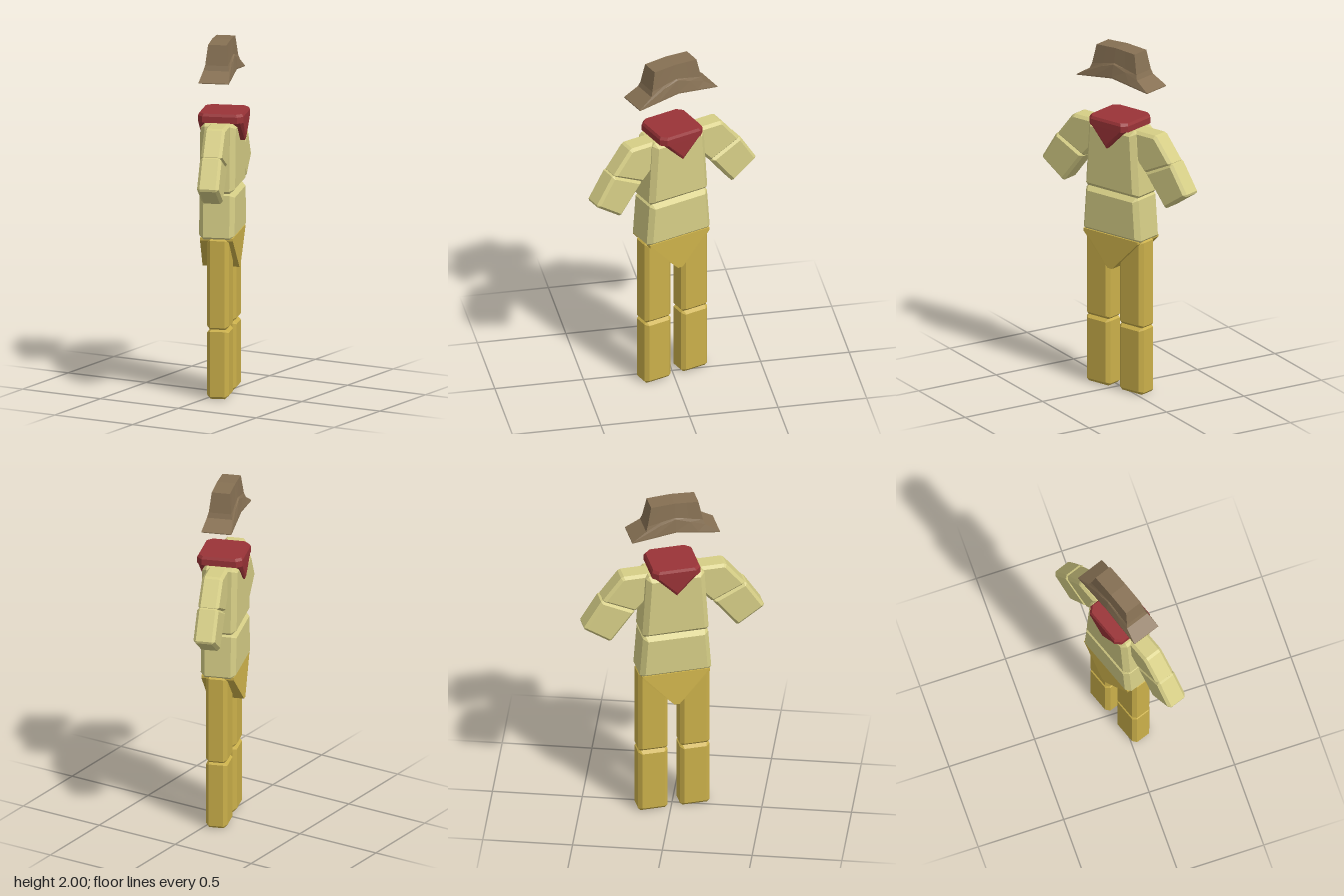
import * as THREE from 'three';
import { ConvexGeometry } from 'three/addons/geometries/ConvexGeometry.js';

const mat = (name, color, side = THREE.FrontSide) =>
  Object.assign(new THREE.MeshStandardMaterial({ color, side }), { name });

// Prism outlined in x-y with cut corners and bevelled front and back edges.
function block(points, depth, bevel, cut = 0.01, z = 0) {
  const p = points.map(([x, y]) => new THREE.Vector2(x, y));
  const outline = [];
  p.forEach((c, i) => {
    for (const n of [p[(i + p.length - 1) % p.length], p[(i + 1) % p.length]])
      outline.push(c.clone().add(n.clone().sub(c).setLength(cut)));
  });
  const geo = new THREE.ExtrudeGeometry(new THREE.Shape(outline), {
    depth: depth - 2 * bevel, bevelEnabled: true, bevelSegments: 1,
    bevelSize: bevel, bevelThickness: bevel, bevelOffset: -bevel,
  });
  return geo.translate(0, 0, z - depth / 2 + bevel);
}

// Outline symmetric in x: bottom and top half widths.
const trapezoid = (y0, w0, y1, w1) => [[-w0, y0], [w0, y0], [w1, y1], [-w1, y1]];

// Hat skin: rectangular rings [halfLength, halfDepth, yAtEnds, yAtMiddle], joined in order.
function hatGeometry(rings) {
  const steps = [-1, -0.5, 0, 0.5, 1];
  const loops = rings.map(([hx, hz, yEnd, yMid]) => {
    const at = (t, s) => [t * hx, yMid + (yEnd - yMid) * Math.abs(t), s * hz];
    return [...steps.map(t => at(t, 1)), ...steps.map(t => at(-t, -1))];
  });
  const pos = [];
  const quad = (a, b, c, d) => pos.push(...a, ...b, ...c, ...a, ...c, ...d);
  for (let r = 0; r < loops.length - 1; r++)
    for (let i = 0; i < 10; i++) {
      const j = (i + 1) % 10;
      quad(loops[r][i], loops[r][j], loops[r + 1][j], loops[r + 1][i]);
    }
  // Inner ceiling and crown top
  const first = loops[0], last = loops[loops.length - 1];
  for (let i = 0; i < 4; i++) {
    quad(last[i], last[i + 1], last[8 - i], last[9 - i]);
    quad(first[i + 1], first[i], first[9 - i], first[8 - i]);
  }
  const geo = new THREE.BufferGeometry();
  geo.setAttribute('position', new THREE.Float32BufferAttribute(pos, 3));
  geo.computeVertexNormals();
  return geo;
}

export function createModel() {
  const shirt = mat('khaki shirt', 0xd6ce86);
  const trousers = mat('ochre trousers', 0xcbb04a);
  const red = mat('red cloth', 0x9a3337);
  const felt = mat('brown felt', 0x867053, THREE.DoubleSide);

  const figure = new THREE.Group();
  figure.name = 'clothedFigure';
  const add = (name, geo, material) => {
    const mesh = new THREE.Mesh(geo, material);
    mesh.name = name;
    figure.add(mesh);
    return mesh;
  };

  // Torso
  add('waist', block(trapezoid(0.9, 0.205, 1.165, 0.185), 0.2, 0.026, 0.015, 0.008), shirt);
  add('chest', block(trapezoid(1.16, 0.19, 1.55, 0.165), 0.2, 0.028, 0.015, 0.008), shirt);

  // Hips: wedge narrowing to the crotch
  const hips = [];
  for (const s of [-1, 1])
    for (const [x, y, z] of [[0.192, 0.91, 0.1], [0.192, 0.895, 0.1], [0.015, 0.715, 0.118],
      [0.192, 0.91, -0.085], [0.192, 0.895, -0.085], [0.015, 0.715, -0.09]])
      hips.push(new THREE.Vector3(s * x, y, z));
  add('hips', new ConvexGeometry(hips), trousers);

  // Limbs, mirrored
  for (const [side, s] of [['left', 1], ['right', -1]]) {
    const flip = pts => pts.map(([x, y]) => [s * x, y]);
    const leg = (y0, y1) => flip([[0.035, y0], [0.203, y0], [0.203, y1], [0.035, y1]]);
    add(side + 'LowerLeg', block(leg(0, 0.396), 0.122, 0.02, 0.014), trousers);
    add(side + 'UpperLeg', block(leg(0.39, 0.91), 0.122, 0.02, 0.014), trousers);
    add(side + 'UpperArm', block(flip([[0.14, 1.55], [0.295, 1.55], [0.41, 1.405],
      [0.22, 1.315], [0.14, 1.4]]), 0.118, 0.016), shirt);
    add(side + 'Forearm', block(flip([[0.22, 1.32], [0.41, 1.415], [0.518, 1.245],
      [0.362, 1.138]]), 0.122, 0.016), shirt);
  }

  // Neckerchief: collar slab with a point hanging front and back
  const c = 0.03, hx = 0.137, hz = 0.128;
  const ring = [];
  for (const sx of [-1, 1])
    for (const sz of [-1, 1])
      for (const [x, z] of [[hx - c, hz], [hx, hz - c]]) {
        ring.push(new THREE.Vector3(sx * x, 1.55, sz * z));
        ring.push(new THREE.Vector3(sx * x, 1.585, sz * z));
        ring.push(new THREE.Vector3(sx * (x - 0.008), 1.6, sz * (z - 0.008)));
      }
  add('collar', new ConvexGeometry(ring), red);
  const point = [];
  for (const z of [-1, 1])
    for (const [x, y, d] of [[-0.125, 1.555, 0.11], [0.125, 1.555, 0.11], [0, 1.43, 0.118],
      [-0.107, 1.56, 0.128], [0.107, 1.56, 0.128], [0, 1.45, 0.126]])
      point.push(new THREE.Vector3(x, y, z * d));
  add('neckerchiefPoints', new ConvexGeometry(point), red);

  // Hat with arched brim, from inner ceiling out over the brim to the crown
  add('hat', hatGeometry([
    [0.15, 0.06, 1.87, 1.89],
    [0.155, 0.066, 1.835, 1.865],
    [0.25, 0.085, 1.795, 1.83],
    [0.25, 0.085, 1.8, 1.838],
    [0.168, 0.072, 1.852, 1.908],
    [0.158, 0.064, 1.88, 1.915],
    [0.135, 0.052, 1.992, 2.0],
  ]), felt).position.z = 0.013;

  // The figure stands turned on the spot
  figure.rotation.y = THREE.MathUtils.degToRad(-70);
  const model = new THREE.Group();
  model.name = 'model';
  model.add(figure);
  return model;
}
